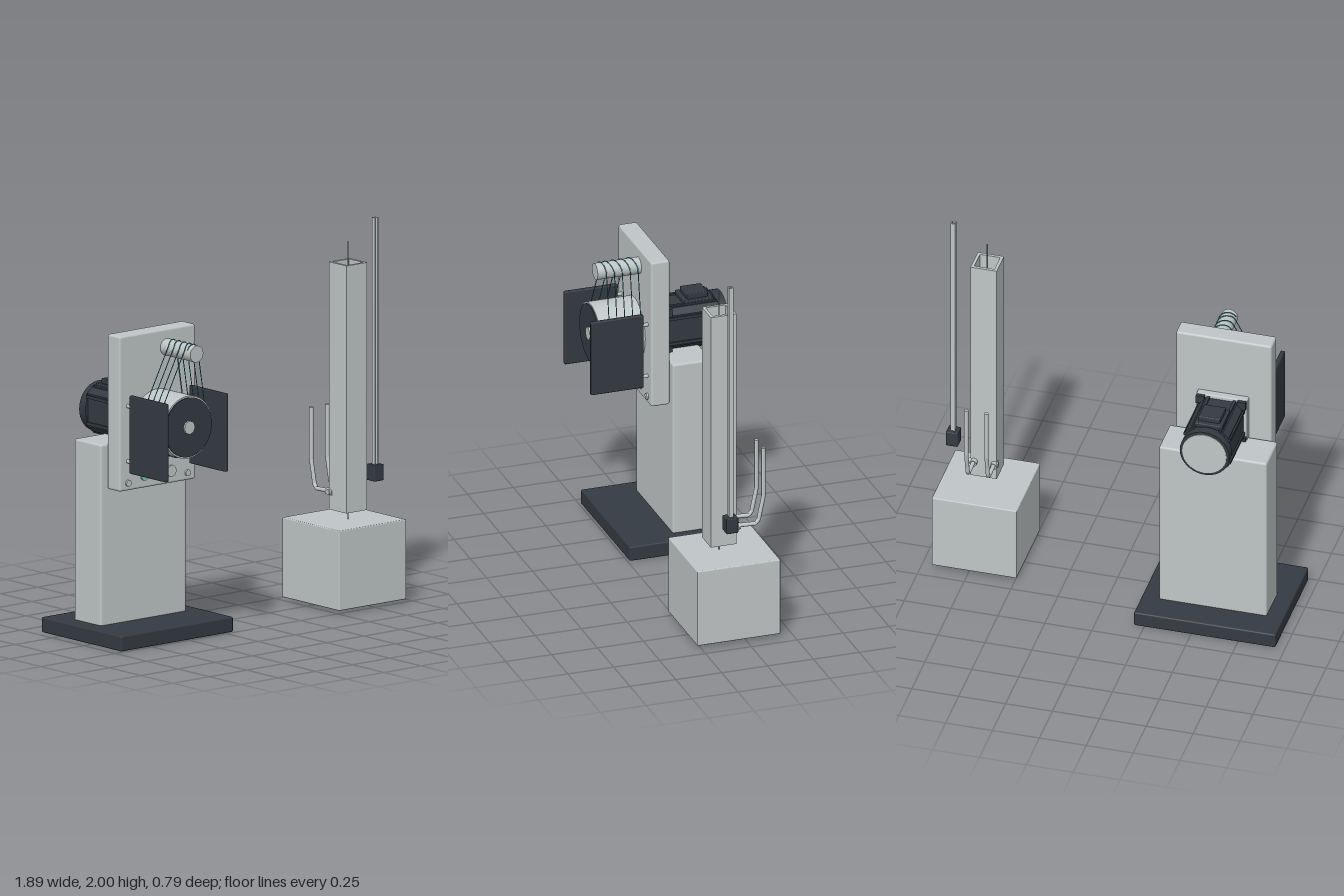
import * as THREE from 'three';
import { RoundedBoxGeometry } from 'three/addons/geometries/RoundedBoxGeometry.js';

const mat = (name, color, side = THREE.FrontSide) => {
  const m = new THREE.MeshStandardMaterial({ color, side });
  m.name = name;
  return m;
};

export function createModel() {
  const root = new THREE.Group();
  root.name = 'liftMachine';
  const grey = mat('light grey', 0xbfc5c6);
  const dark = mat('charcoal', 0x343a42);
  const aqua = mat('aqua', 0x7cc4d0);
  const teal = mat('teal cord', 0x2f8a90);
  const steel = mat('steel', 0x9da4a5);

  const add = (parent, name, geometry, material) => {
    const mesh = new THREE.Mesh(geometry, material);
    mesh.name = name;
    parent.add(mesh);
    return mesh;
  };
  const group = (name) => {
    const g = new THREE.Group();
    g.name = name;
    root.add(g);
    return g;
  };
  // Box given by its limits on each axis, with optional rounded edges
  const box = (parent, name, material, [x0, x1], [y0, y1], [z0, z1], r = 0) => {
    const size = [x1 - x0, y1 - y0, z1 - z0];
    const geo = r ? new RoundedBoxGeometry(...size, 2, r) : new THREE.BoxGeometry(...size);
    geo.translate((x0 + x1) / 2, (y0 + y1) / 2, (z0 + z1) / 2);
    return add(parent, name, geo, material);
  };
  // Cylinder lying along z
  const disc = (parent, name, material, x, y, z0, z1, r, sides = 48) => {
    const geo = new THREE.CylinderGeometry(r, r, z1 - z0, sides);
    geo.rotateX(Math.PI / 2).translate(x, y, (z0 + z1) / 2);
    return add(parent, name, geo, material);
  };
  const extrude = (shape, depth) => new THREE.ExtrudeGeometry(shape, { depth, bevelEnabled: false });
  const polygon = (pts) => new THREE.Shape(pts.map(([x, y]) => new THREE.Vector2(x, y)));

  // Stand
  const stand = group('stand');
  box(stand, 'basePlate', dark, [-0.95, -0.195], [0, 0.08], [-0.395, 0.24], 0.008);
  box(stand, 'column', grey, [-0.86, -0.285], [0.07, 1.03], [-0.24, -0.028], 0.012);
  box(stand, 'panel', grey, [-0.825, -0.315], [0.795, 1.61], [-0.022, 0.08], 0.012);

  // Buttons along the bottom of the panel
  disc(stand, 'aquaButton', aqua, -0.66, 0.86, 0.075, 0.09, 0.025);
  disc(stand, 'greyButton', grey, -0.48, 0.86, 0.075, 0.088, 0.03);
  for (const x of [-0.77, -0.37]) disc(stand, 'smallButton', grey, x, 0.835, 0.075, 0.09, 0.017, 24);

  // Side guards on short standoffs
  const guards = group('sideGuards');
  for (const x of [-0.771, -0.369]) {
    box(guards, 'guardPlate', dark, [x - 0.012, x + 0.012], [0.89, 1.3], [0.105, 0.393], 0.006);
    for (const y of [0.95, 1.24]) disc(guards, 'standoff', grey, x, y, 0.07, 0.11, 0.01, 16);
  }

  // Winding drum, upper roller and cord
  const winch = group('winch');
  const big = { x: -0.57, y: 1.14, r: 0.164 };
  const small = { x: -0.508, y: 1.515, r: 0.044 };
  disc(winch, 'drum', grey, big.x, big.y, 0.07, 0.32, big.r, 64);
  disc(winch, 'drumFace', dark, big.x, big.y, 0.318, 0.326, 0.156, 64);
  disc(winch, 'drumHub', grey, big.x, big.y, 0.32, 0.336, 0.036, 8);
  disc(winch, 'roller', grey, small.x, small.y, 0.07, 0.318, small.r, 32);

  const dx = small.x - big.x, dy = small.y - big.y;
  const phi = Math.atan2(dy, dx);
  const spread = Math.acos((big.r - small.r) / Math.hypot(dx, dy));
  const turns = 5, pitch = 0.043, cord = 0.0025;
  const path = new THREE.CurvePath();
  let last = null;
  const arc = (c, from, to, z0, z1, n) => {
    for (let i = 0; i <= n; i++) {
      const t = i / n, a = from + (to - from) * t, r = c.r + cord;
      const p = new THREE.Vector3(c.x + r * Math.cos(a), c.y + r * Math.sin(a), z0 + (z1 - z0) * t);
      if (last) path.add(new THREE.LineCurve3(last, p));
      last = p;
    }
  };
  for (let k = 0; k < turns; k++) {
    const z = 0.1 + k * pitch;
    arc(big, phi + spread, phi - spread + 2 * Math.PI, z, z, 28);
    arc(small, phi - spread, phi + spread, z, z + pitch * (k < turns - 1 ? 1 : 0.5), 14);
  }
  add(winch, 'cord', new THREE.TubeGeometry(path, 900, cord, 5), teal);

  // Motor behind the panel
  const motor = group('motor');
  const mx = -0.57, my = 1.14;
  box(motor, 'motorFlange', grey, [mx - 0.135, mx + 0.135], [my - 0.135, my + 0.135], [-0.06, -0.015], 0.006);
  const h = 0.116, c = 0.03;
  const body = extrude(polygon([[h, -h + c], [h, h - c], [h - c, h], [-h + c, h], [-h, h - c],
    [-h, -h + c], [-h + c, -h], [h - c, -h]]), 0.285);
  body.translate(mx, my, -0.343);
  add(motor, 'motorBody', body, dark);
  // Raised ribs along each face and lugs by the flange
  for (let i = 0; i < 4; i++) {
    for (const s of [-1, 1]) {
      const rib = new THREE.BoxGeometry(0.016, 0.018, 0.28);
      rib.translate(s * 0.07, h, -0.2).rotateZ(i * Math.PI / 2).translate(mx, my, 0);
      add(motor, 'motorRib', rib, dark);
    }
    const lug = new THREE.BoxGeometry(0.045, 0.045, 0.02);
    lug.translate(0.11, 0.11, -0.07).rotateZ(i * Math.PI / 2).translate(mx, my, 0);
    add(motor, 'motorLug', lug, dark);
  }
  disc(motor, 'motorCap', dark, mx, my, -0.387, -0.337, 0.132, 40);
  disc(motor, 'motorEndDisc', grey, mx, my, -0.391, -0.384, 0.118, 40);
  box(motor, 'connectorBase', dark, [mx - 0.075, mx + 0.075], [1.25, 1.279], [-0.325, -0.165], 0.005);
  box(motor, 'connectorBox', dark, [mx - 0.058, mx + 0.058], [1.27, 1.305], [-0.3, -0.185], 0.005);

  // Hanging counterweight with its rope
  const lift = group('lift');
  const cx = 0.717, cz = 0.075;
  box(lift, 'counterweight', grey, [0.49, 0.943], [0.02, 0.44], [-0.18, 0.273], 0.006);
  const rope = new THREE.CylinderGeometry(0.003, 0.003, 1.47, 6).translate(cx, 1.165, cz);
  add(lift, 'rope', rope, steel);

  // Hollow square shaft
  const square = (s) => [[-s, -s], [s, -s], [s, s], [-s, s]];
  const ring = polygon(square(0.07));
  ring.holes.push(polygon(square(0.054)));
  add(lift, 'shaft', extrude(ring, 1.3).rotateX(-Math.PI / 2).translate(cx, 0.49, cz), grey);

  // Pair of bent rods clamped to the back of the shaft
  for (const s of [-1, 1]) {
    const x = cx - 0.004 + s * 0.054;
    const bend = new THREE.CurvePath();
    const pts = [[0.585, 0.005], [0.58, -0.105], [0.6, -0.122], [0.725, -0.148], [1.0, -0.148]]
      .map(([y, z]) => new THREE.Vector3(x, y, z));
    pts.slice(1).forEach((p, i) => bend.add(new THREE.LineCurve3(pts[i], p)));
    add(lift, 'bentRod', new THREE.TubeGeometry(bend, 60, 0.011, 10), grey);
    const end = new THREE.CylinderGeometry(0.011, 0.011, 0.006, 10).translate(x, 0.998, -0.148);
    add(lift, 'rodEnd', end, grey);
    const clamp = new THREE.CylinderGeometry(0.018, 0.018, 0.05, 16).rotateX(Math.PI / 2);
    add(lift, 'rodClamp', clamp.translate(x, 0.58, 0.005), grey);
    const pin = new THREE.CylinderGeometry(0.014, 0.014, 0.03, 12).rotateZ(Math.PI / 2);
    add(lift, 'clampPin', pin.translate(cx + s * 0.064, 0.58, 0.005), grey);
  }

  // Guide rail: upright channel on a dark foot
  const rail = group('guideRail');
  const w = 0.012, t = 0.006;
  const channel = polygon([[-w, -w], [-w + t, -w], [-w + t, w - t], [w - t, w - t], [w - t, -w],
    [w, -w], [w, w], [-w, w]]);
  add(rail, 'channel', extrude(channel, 1.31).rotateX(-Math.PI / 2).translate(0.898, 0.69, 0.077), grey);
  box(rail, 'railFoot', dark, [0.866, 0.93], [0.62, 0.705], [0.045, 0.11], 0.005);

  return root;
}
